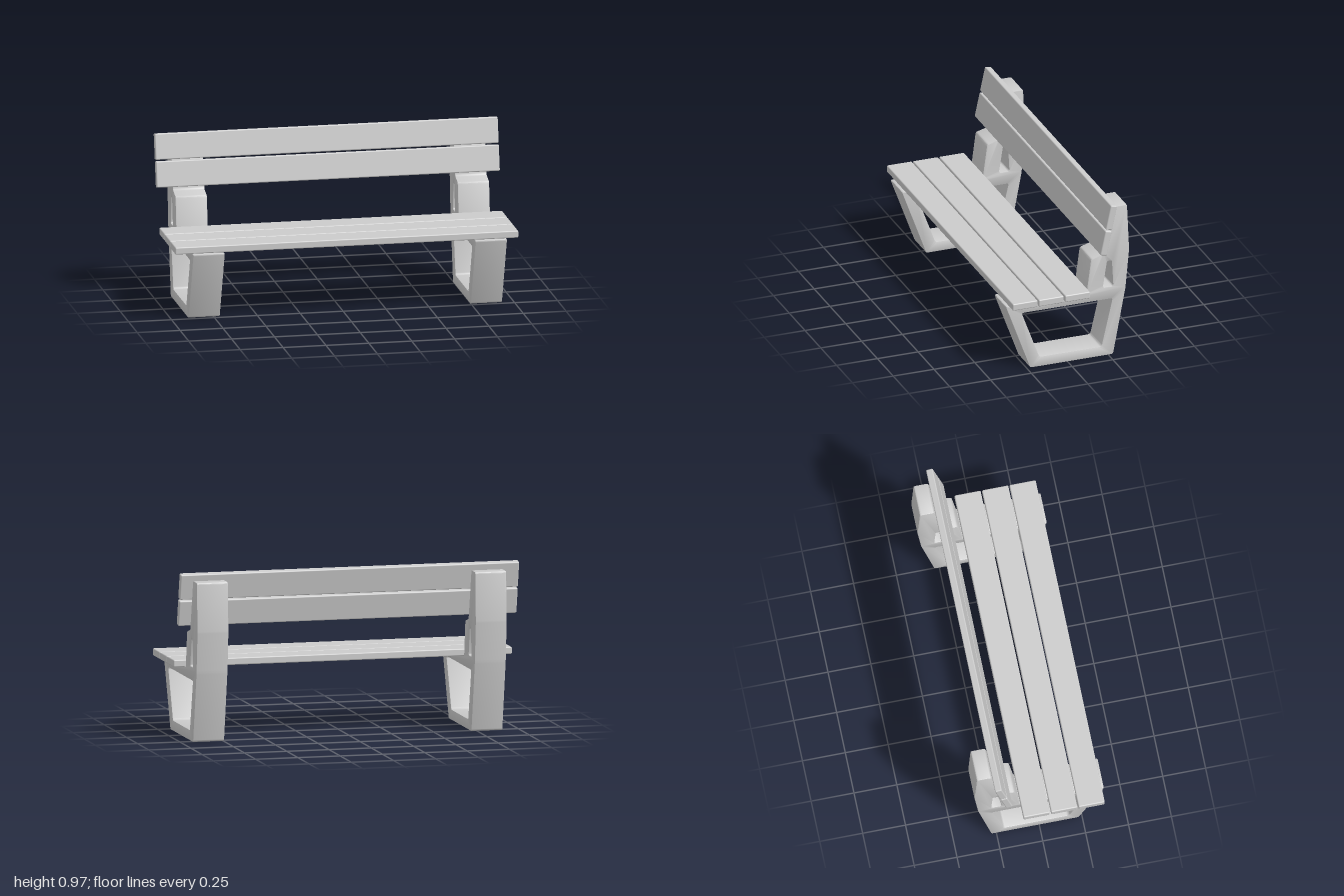
import * as THREE from 'three';
import { toCreasedNormals } from 'three/addons/utils/BufferGeometryUtils.js';
import { RoundedBoxGeometry } from 'three/addons/geometries/RoundedBoxGeometry.js';

const material = new THREE.MeshStandardMaterial({ color: 0xcccccc });

// Trace a closed polygon with softly rounded corners of radius r
function roundedPath(path, points, r) {
  const p = points.map(([x, y]) => new THREE.Vector2(x, y));
  p.forEach((corner, i) => {
    const toward = (q) => corner.clone().add(q.clone().sub(corner).setLength(r));
    const a = toward(p[(i + p.length - 1) % p.length]);
    const b = toward(p[(i + 1) % p.length]);
    if (i === 0) path.moveTo(a.x, a.y);
    else path.lineTo(a.x, a.y);
    path.quadraticCurveTo(corner.x, corner.y, b.x, b.y);
  });
  path.closePath();
  return path;
}

// Side frame profile, as (z, y) points
function frameGeometry() {
  const shape = roundedPath(new THREE.Shape(), [
    [0.23, 0], [-0.279, 0], [-0.356, 0.41], [-0.378, 0.645], [-0.365, 0.932],
    [-0.28, 0.932], [-0.215, 0.642], [-0.143, 0.622], [-0.115, 0.41], [0.38, 0.41],
  ], 0.012);
  // Large opening between the feet and the seat
  shape.holes.push(roundedPath(new THREE.Path(), [
    [0.281, 0.353], [-0.275, 0.353], [-0.207, 0.06], [0.173, 0.06],
  ], 0.014));
  // Small tapered opening behind the seat
  shape.holes.push(roundedPath(new THREE.Path(), [
    [-0.242, 0.593], [-0.27, 0.593], [-0.279, 0.432], [-0.217, 0.432],
  ], 0.01));

  const width = 0.185, bevel = 0.005;
  const geometry = new THREE.ExtrudeGeometry(shape, {
    depth: width - 2 * bevel, curveSegments: 4,
    bevelThickness: bevel, bevelSize: bevel, bevelOffset: -bevel, bevelSegments: 2,
  });
  geometry.translate(0, 0, bevel - width / 2);
  geometry.rotateY(-Math.PI / 2);
  return toCreasedNormals(geometry, Math.PI / 6);
}

export function createModel() {
  const group = new THREE.Group();
  const add = (name, geometry, x, y, z, tilt = 0) => {
    const mesh = new THREE.Mesh(geometry, material);
    mesh.name = name;
    mesh.position.set(x, y, z);
    mesh.rotation.x = tilt;
    group.add(mesh);
  };

  // Two side frames
  const frame = frameGeometry();
  add('rightFrame', frame, -0.807, 0, 0);
  add('leftFrame', frame, 0.838, 0, 0);

  // Three flat seat slats
  const seatSlat = new RoundedBoxGeometry(2, 0.042, 0.153, 3, 0.007);
  [0.286, 0.126, -0.035].forEach((z, i) => add(`seatSlat${i + 1}`, seatSlat, 0, 0.432, z));

  // Two leaning backrest slats
  const backSlat = new RoundedBoxGeometry(2, 0.151, 0.04, 3, 0.007);
  const lean = THREE.MathUtils.degToRad(-12);
  add('lowerBackSlat', backSlat, 0, 0.741, -0.21, lean);
  add('upperBackSlat', backSlat, 0, 0.897, -0.243, lean);

  return group;
}
